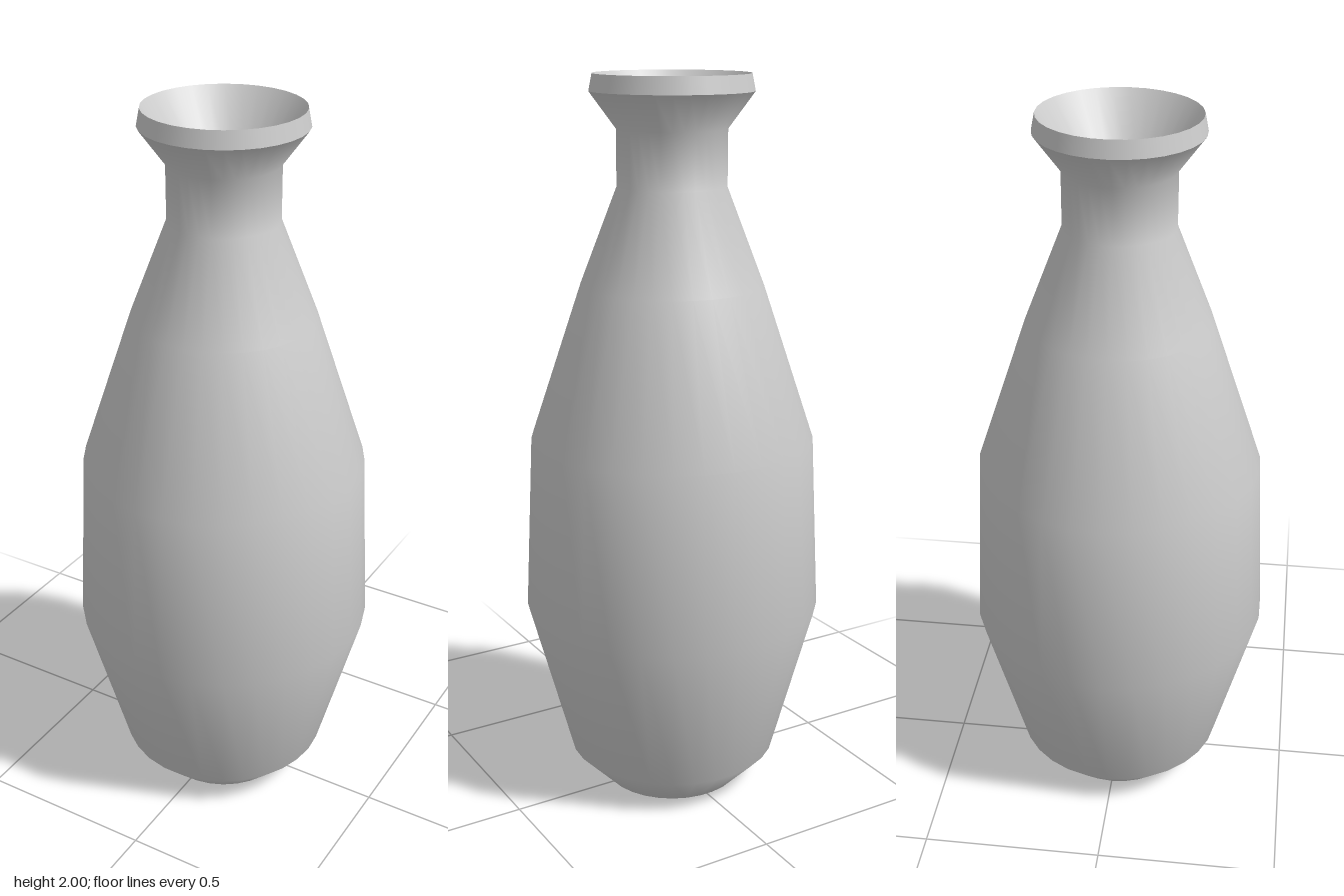
import * as THREE from 'three';

const SIDES = 30;

export function createModel() {
  const group = new THREE.Group();
  group.name = 'vase';
  const grey = new THREE.MeshStandardMaterial({ color: 0xcccccc });
  grey.name = 'grey ceramic';

  // Each section is one smooth run of the profile; edges between sections stay sharp.
  const turn = (name, profile) => {
    const points = profile.map(([r, y]) => new THREE.Vector2(r, y));
    const mesh = new THREE.Mesh(new THREE.LatheGeometry(points, SIDES, Math.PI / 2), grey);
    mesh.name = name;
    group.add(mesh);
  };

  // Outside, from the base up to the lip
  turn('base', [[0, 0], [0.198, 0]]);
  turn('body', [
    [0.198, 0], [0.295, 0.1], [0.413, 0.54], [0.389, 1.03],
    [0.248, 1.45], [0.147, 1.71], [0.147, 1.86], [0.217, 1.955],
  ]);
  turn('rim', [[0.217, 1.955], [0.208, 2]]);

  // Inside, from the lip down to the floor
  turn('funnel', [[0.208, 2], [0.122, 1.87]]);
  turn('innerWall', [
    [0.122, 1.87], [0.111, 1.71], [0.22, 1.44], [0.362, 1.02],
    [0.386, 0.54], [0.27, 0.115], [0.188, 0.03],
  ]);
  turn('innerFloor', [[0.188, 0.03], [0, 0.03]]);

  return group;
}
